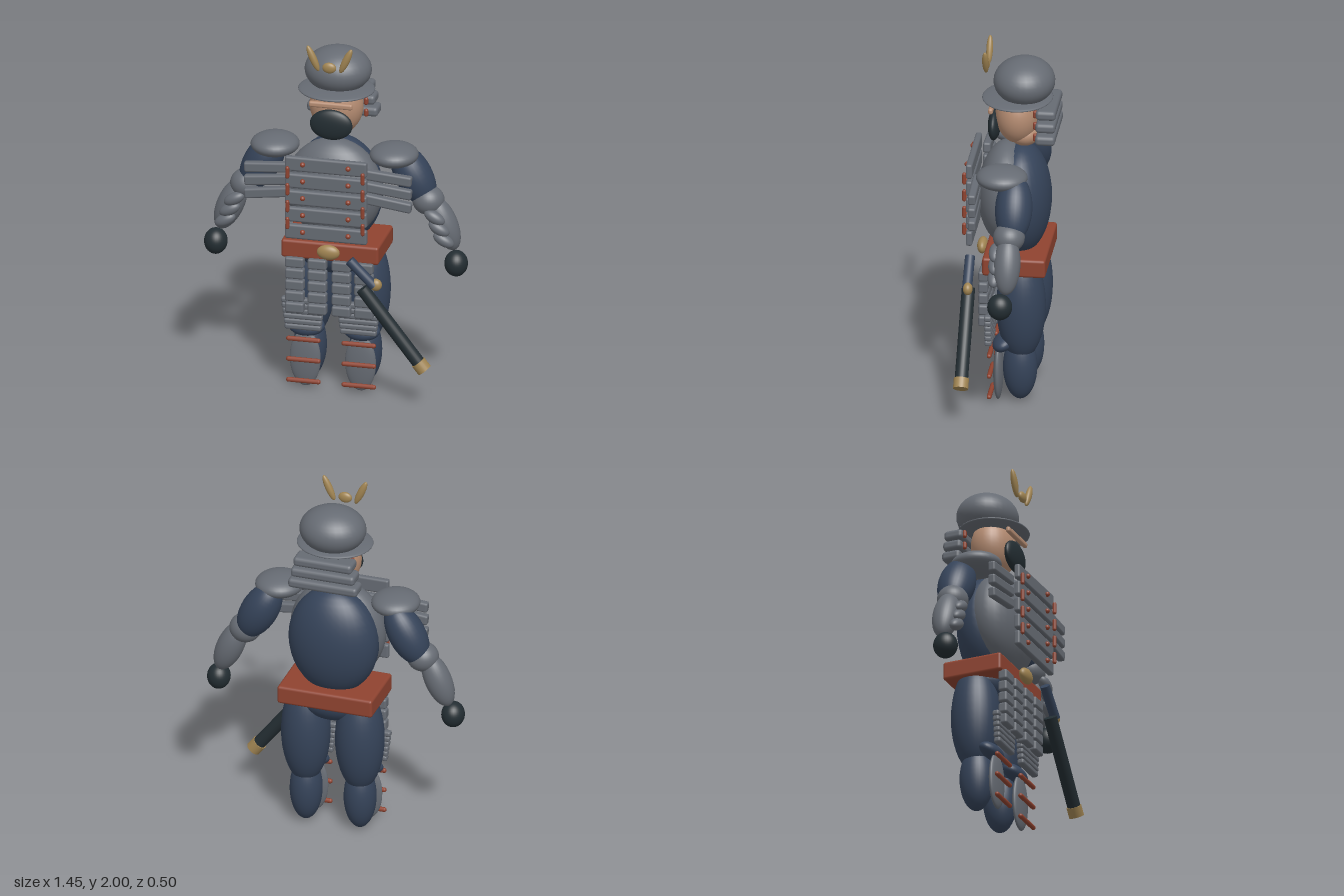
import * as THREE from 'three';
import { RoundedBoxGeometry } from 'three/addons/geometries/RoundedBoxGeometry.js';

function material(name, color) {
  const m = new THREE.MeshStandardMaterial({ color });
  m.name = name;
  return m;
}

export function createModel() {
  const model = new THREE.Group();
  model.name = 'armouredWarrior';
  const steel = material('steel grey', 0x666b73);
  const navy = material('navy cloth', 0x354359);
  const dark = material('dark lacquer', 0x232d32);
  const red = material('rust red', 0x8f4330);
  const gold = material('old gold', 0xa08452);
  const skin = material('skin', 0xb58c72);

  const ball = new THREE.SphereGeometry(1, 32, 20);

  function place(name, geometry, mat, pos, rot = [0, 0, 0]) {
    const mesh = new THREE.Mesh(geometry, mat);
    mesh.name = name;
    mesh.position.set(...pos);
    mesh.rotation.set(...rot);
    model.add(mesh);
    return mesh;
  }
  function blob(name, mat, pos, radii, rot) {
    const mesh = place(name, ball, mat, pos, rot);
    mesh.scale.set(...radii);
    return mesh;
  }
  function slab(name, mat, pos, size, rot, radius = 0.012) {
    const r = Math.min(radius, Math.min(...size) * 0.45);
    return place(name, new RoundedBoxGeometry(...size, 2, r), mat, pos, rot);
  }
  function cord(name, pos, radius, length, rot) {
    return place(name, new THREE.CapsuleGeometry(radius, length - 2 * radius, 4, 10), red, pos, rot);
  }
  // Cylinder running between two points
  function rod(name, mat, a, b, r0, r1 = r0) {
    const from = new THREE.Vector3(...a), to = new THREE.Vector3(...b);
    const dir = to.clone().sub(from);
    const mesh = place(name, new THREE.CylinderGeometry(r1, r0, dir.length(), 24), mat,
      from.clone().add(to).multiplyScalar(0.5).toArray());
    mesh.quaternion.setFromUnitVectors(new THREE.Vector3(0, 1, 0), dir.normalize());
    return mesh;
  }

  // Head, mask and helmet
  blob('neck', skin, [0, 1.5, -0.068], [0.1, 0.07, 0.085]);
  blob('head', skin, [0, 1.61, -0.03], [0.146, 0.165, 0.118]);
  slab('brow', skin, [0, 1.655, 0.103], [0.24, 0.033, 0.026]);
  blob('faceMask', dark, [0, 1.54, 0.094], [0.117, 0.086, 0.034]);
  blob('helmetDome', steel, [0, 1.8, -0.066], [0.181, 0.126, 0.165]);
  blob('helmetBrim', steel, [0, 1.702, -0.03], [0.207, 0.023, 0.19]);
  blob('crestBoss', gold, [0, 1.885, 0.137], [0.038, 0.03, 0.018]);
  for (let i = 0; i < 3; i++) {
    const y = 1.663 - i * 0.067;
    slab('neckGuardPlate', steel, [0, y, -0.198], [0.33 + i * 0.03, 0.054, 0.108], undefined, 0.02);
    for (const s of [-1, 1]) cord('neckGuardLace', [s * 0.135, y, -0.14], 0.012, 0.045);
  }

  // Torso and belt
  blob('torso', navy, [0, 1.12, -0.05], [0.25, 0.31, 0.162]);
  blob('breastplate', steel, [0, 1.15, 0.025], [0.265, 0.285, 0.155]);
  blob('hips', navy, [0, 0.77, -0.04], [0.22, 0.125, 0.15]);
  slab('belt', red, [0, 0.815, -0.04], [0.535, 0.103, 0.34], undefined, 0.015);
  blob('buckle', gold, [0, 0.828, 0.158], [0.063, 0.042, 0.029]);

  // Laced chest plates
  for (let i = 0; i < 5; i++) {
    const y = 1.345 - i * 0.0975;
    slab('chestPlate', steel, [0, y, 0.205], [0.45, 0.083, 0.035]);
    for (const s of [-1, 1]) {
      blob('chestStud', red, [s * 0.125, y + 0.004, 0.226], [0.014, 0.014, 0.014]);
      if (i < 4) cord('chestLace', [s * 0.207, y - 0.045, 0.232], 0.011, 0.07);
    }
  }

  // Four hanging skirt panels, five rows each
  for (const x of [-0.19, -0.066, 0.066, 0.19]) {
    for (let row = 0; row < 5; row++) {
      slab('skirtPlate', steel, [x, 0.745 - row * 0.065, 0.128], [0.103, 0.058, 0.052]);
    }
  }

  // Mirrored parts: s = +1 is the model's left
  for (const s of [-1, 1]) {
    blob('crestHorn', gold, [s * 0.09, 1.93, 0.132], [0.02, 0.077, 0.018], [0, 0, -s * 0.42]);

    // Shoulder and arm
    blob('shoulderPad', steel, [s * 0.327, 1.37, 0.015], [0.131, 0.06, 0.138]);
    blob('upperArm', navy, [s * 0.415, 1.23, -0.06], [0.1, 0.185, 0.1], [0, 0, s * 0.5]);
    for (let i = 0; i < 3; i++) {
      slab('sleevePlate', steel, [s * 0.33, 1.293 - i * 0.073, 0.162], [0.26, 0.057, 0.042],
        [0, 0, -s * (0.08 + i * 0.025)]);
    }
    blob('elbow', steel, [s * 0.5, 1.1, -0.045], [0.087, 0.08, 0.085]);
    blob('forearm', steel, [s * 0.585, 0.975, -0.045], [0.073, 0.16, 0.072], [0, 0, s * 0.4]);
    for (let i = 0; i < 3; i++) {
      blob('forearmPlate', steel, [s * (0.55 + i * 0.025), 1.03 - i * 0.063, 0.022],
        [0.062, 0.033, 0.035], [0, 0, -s * 0.5]);
    }
    blob('hand', dark, [s * 0.66, 0.762, -0.015], [0.063, 0.072, 0.067]);

    // Leg
    blob('thigh', navy, [s * 0.152, 0.555, -0.067], [0.133, 0.31, 0.133]);
    blob('shin', navy, [s * 0.152, 0.2, -0.062], [0.088, 0.185, 0.092]);
    blob('knee', navy, [s * 0.152, 0.34, 0.025], [0.1, 0.045, 0.065], [0.5, 0, 0]);
    for (let i = 0; i < 6; i++) {
      slab('thighPlate', steel, [s * 0.152, 0.362 + i * 0.03, 0.1], [0.2 + i * 0.008, 0.032, 0.04]);
    }
    blob('shinGuard', steel, [s * 0.152, 0.165, 0.055], [0.085, 0.16, 0.026]);
    for (const y of [0.285, 0.167, 0.047]) {
      cord('shinStrap', [s * 0.152, y, 0.095], 0.013, 0.19, [0, 0, Math.PI / 2]);
    }
  }

  // Sheathed sword hanging at the left hip
  const z = 0.21;
  rod('swordGrip', navy, [0.13, 0.815, z], [0.265, 0.68, z], 0.027);
  blob('swordGuard', gold, [0.272, 0.687, z - 0.005], [0.034, 0.034, 0.026]);
  rod('scabbard', dark, [0.2, 0.66, z], [0.515, 0.255, z], 0.036);
  rod('scabbardTip', gold, [0.506, 0.266, z], [0.542, 0.222, z], 0.041);

  return model;
}
